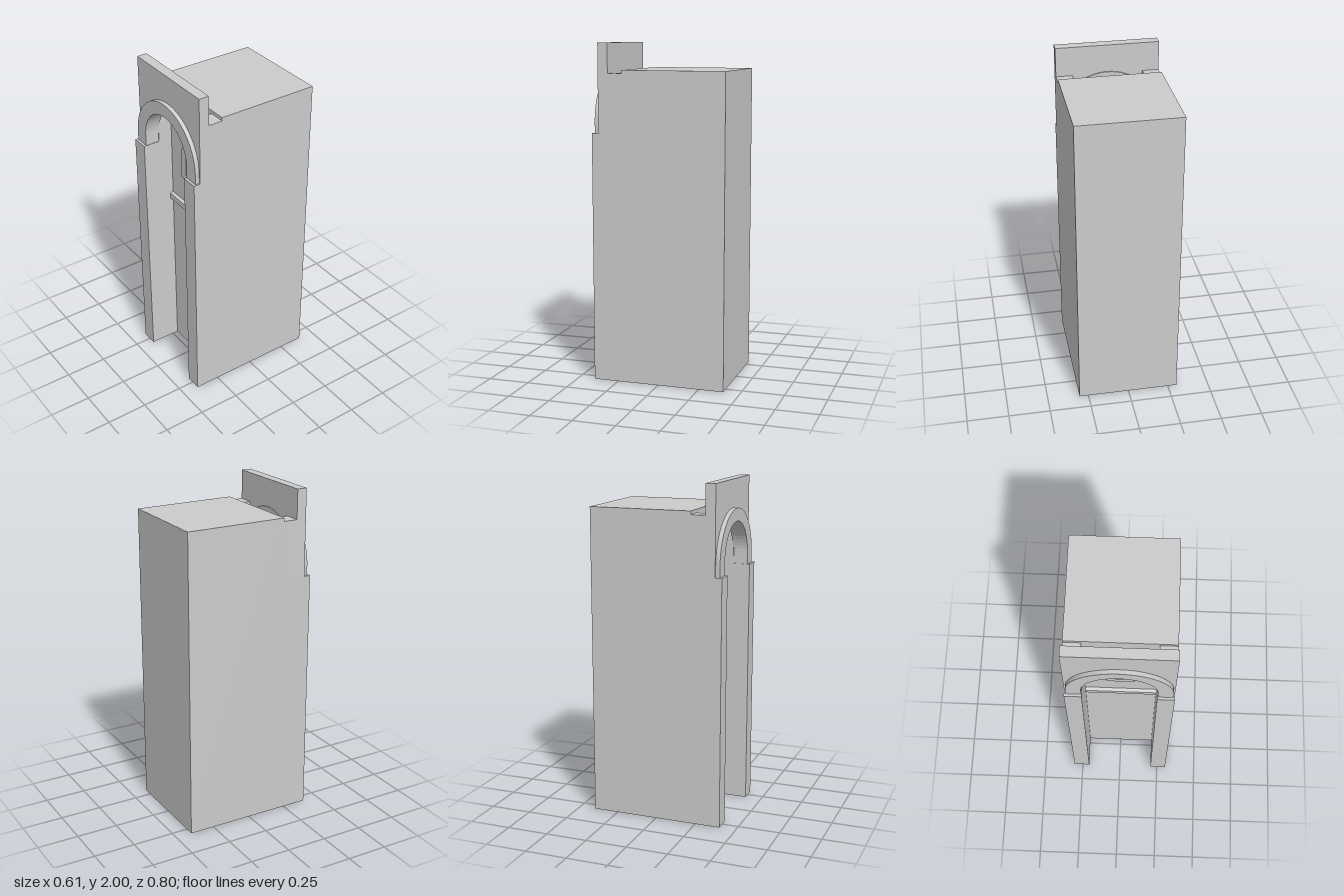
import * as THREE from 'three';

const W = 0.305;      // half width of the tower
const OPEN = 0.207;   // half width of the niche
const BACK = 0.215;   // niche back wall
const mat = new THREE.MeshStandardMaterial({ color: 0xcccccc, flatShading: true, side: THREE.DoubleSide });

export function createModel() {
  const group = new THREE.Group();

  const add = (name, geometry) => {
    const mesh = new THREE.Mesh(geometry, mat);
    mesh.name = name;
    group.add(mesh);
    return mesh;
  };

  // Box given by its limits on each axis; openBottom drops the -y face
  const box = (name, x0, x1, y0, y1, z0, z1, openBottom = false) => {
    const g = new THREE.BoxGeometry(x1 - x0, y1 - y0, z1 - z0);
    g.translate((x0 + x1) / 2, (y0 + y1) / 2, (z0 + z1) / 2);
    if (openBottom) {
      const index = Array.from(g.index.array);
      index.splice(18, 6);
      g.setIndex(index);
    }
    return add(name, g);
  };

  // Round-headed outline: straight jambs from y0 to the springing, then a semicircle
  const arched = (path, r, y0, spring) => {
    path.moveTo(-r, y0);
    path.lineTo(r, y0);
    path.lineTo(r, spring);
    path.absarc(0, spring, r, 0, Math.PI, false);
    path.closePath();
    return path;
  };

  const extrude = (shape, z0, z1) => {
    const g = new THREE.ExtrudeGeometry(shape, { depth: z1 - z0, bevelEnabled: false, curveSegments: 16 });
    return g.translate(0, 0, z0);
  };

  // Outline standing on y0 with an arch cut up into it from below
  const cutArch = (shape, r, y0, spring) => {
    shape.lineTo(r, y0);
    shape.lineTo(r, spring);
    shape.absarc(0, spring, r, 0, Math.PI, false);
    shape.lineTo(-r, y0);
    shape.closePath();
    return shape;
  };

  // Main block
  box('towerBody', -W, W, 0, 1.845, -0.4, BACK);

  // Piers on both sides of the niche, with lower shoulders behind the front wall
  for (const s of [-1, 1]) {
    const x0 = s < 0 ? -W : OPEN;
    const x1 = s < 0 ? -OPEN : W;
    const side = s < 0 ? 'right' : 'left';
    box(side + 'Pier', x0, x1, 0, 1.48, BACK, 0.4, true);
    box(side + 'PierShoulder', x0, x1, 1.48, 1.825, BACK, 0.3, true);
  }

  // Front wall rising above the roof, pierced by the arch
  const wall = new THREE.Shape();
  wall.moveTo(-W, 1.48);
  wall.lineTo(-W, 2);
  wall.lineTo(W, 2);
  wall.lineTo(W, 1.48);
  add('frontWall', extrude(cutArch(wall, 0.212, 1.48, 1.548), 0.3, 0.36));

  // Arch ring, standing proud of the wall at front and back
  const ring = new THREE.Shape();
  ring.moveTo(-0.296, 1.48);
  ring.lineTo(-0.296, 1.54);
  ring.absarc(0, 1.54, 0.296, Math.PI, 0, true);
  ring.lineTo(0.296, 1.48);
  add('archRing', extrude(cutArch(ring, 0.21, 1.48, 1.55), 0.293, 0.385));

  // Ledge across the niche, with sloping upper and lower edges
  const ledge = box('ledge', -OPEN, OPEN, 1.057, 1.103, BACK, 0.235).geometry;
  const lp = ledge.attributes.position;
  for (let i = 0; i < lp.count; i++) {
    if (lp.getZ(i) > 0.23) lp.setY(i, 1.08 + (lp.getY(i) - 1.08) * 0.75);
  }
  ledge.computeVertexNormals();

  // Window frame with a slot; its outer edge tapers towards the front
  const frame = arched(new THREE.Shape(), 0.085, 1.276, 1.437);
  frame.holes.push(arched(new THREE.Path(), 0.029, 1.316, 1.437));
  const frameGeo = extrude(frame, BACK, 0.235);
  const fp = frameGeo.attributes.position;
  for (let i = 0; i < fp.count; i++) {
    const x = fp.getX(i), y = fp.getY(i);
    const outer = Math.abs(x) > 0.04 || y < 1.3 || y > 1.48;
    if (fp.getZ(i) > 0.23 && outer) fp.setXY(i, x * 0.94, 1.4 + (y - 1.4) * 0.96);
  }
  frameGeo.computeVertexNormals();
  add('windowFrame', frameGeo);

  return group;
}
